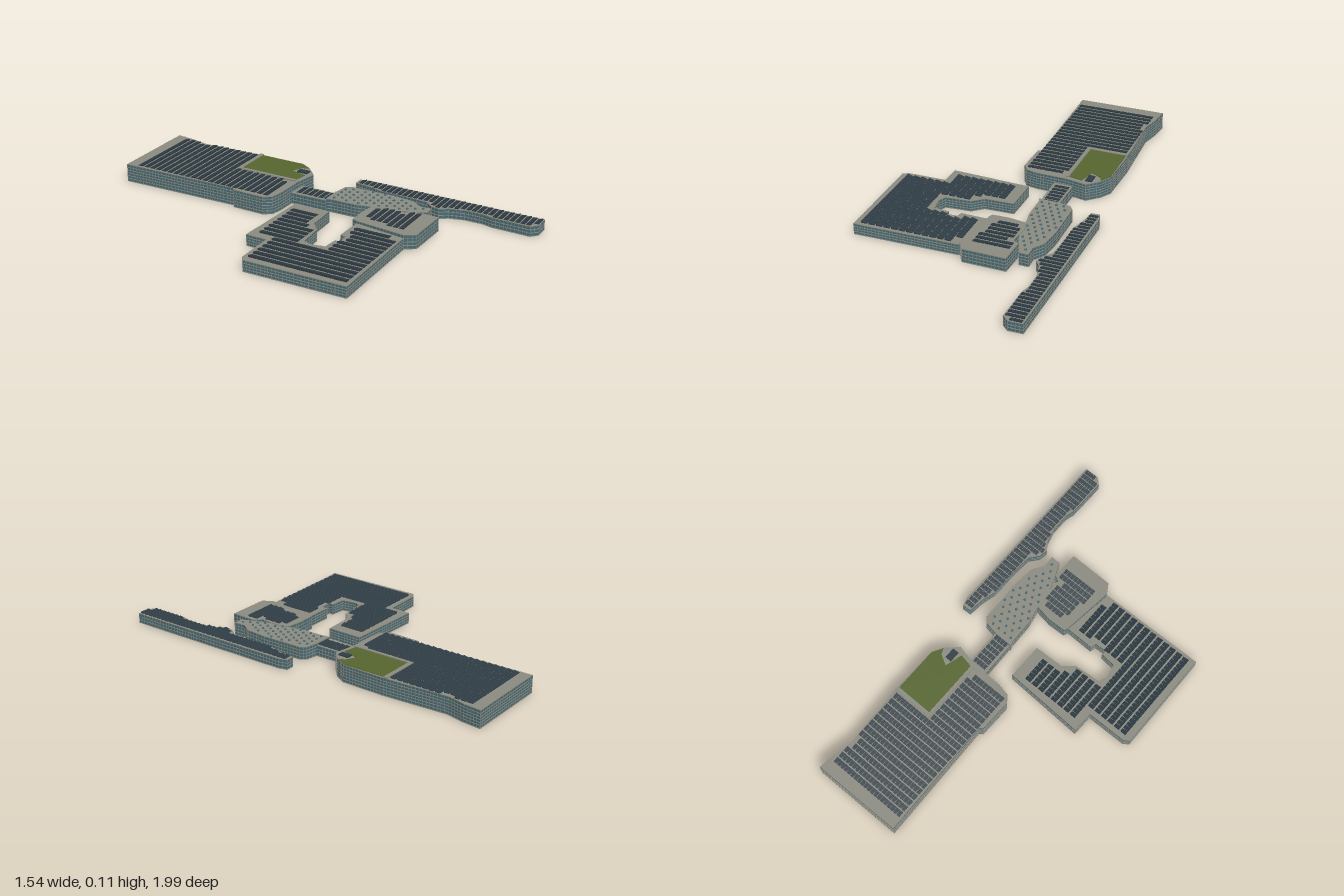
import * as THREE from 'three';
import { mergeGeometries } from 'three/addons/utils/BufferGeometryUtils.js';

const mat = (color) => new THREE.MeshStandardMaterial({ color, flatShading: true });
const CONCRETE = mat(0x8a8a80), GLASS = mat(0x456a74), PANEL = mat(0x303d45), GRASS = mat(0x55652f);
const ALONG = Math.PI / 6, ACROSS = -Math.PI / 3; // the two directions of the site grid

function add(group, name, geometry, material) {
  const mesh = new THREE.Mesh(geometry, material);
  mesh.name = name;
  group.add(mesh);
}

// Upright prism over an [x, z] outline
function prism(outline, y0, y1) {
  const shape = new THREE.Shape(outline.map(([x, z]) => new THREE.Vector2(x, -z)));
  return new THREE.ExtrudeGeometry(shape, { depth: y1 - y0, bevelEnabled: false })
    .rotateX(-Math.PI / 2).translate(0, y0, 0);
}

function inside([x, z], poly) {
  let hit = false;
  poly.forEach(([ax, az], i) => {
    const [bx, bz] = poly[(i + 1) % poly.length];
    if ((az > z) !== (bz > z) && x < ax + ((z - az) * (bx - ax)) / (bz - az)) hit = !hit;
  });
  return hit;
}

// Floor bands and mullions along every wall
function facadeGrid(outline, height) {
  const parts = [];
  const floors = Math.round(height / 0.0175);
  outline.forEach(([ax, az], i) => {
    const [bx, bz] = outline[(i + 1) % outline.length];
    const length = Math.hypot(bx - ax, bz - az);
    const turn = -Math.atan2(bz - az, bx - ax);
    const place = (g, t, y) => parts.push(
      g.rotateY(turn).translate(ax + (bx - ax) * t, y, az + (bz - az) * t));
    for (let f = 0; f < floors; f++) {
      place(new THREE.BoxGeometry(length, 0.0035, 0.004), 0.5, 0.002 + (f * (height - 0.004)) / floors);
    }
    const bays = Math.max(1, Math.round(length / 0.02));
    for (let b = 0; b < bays; b++) {
      place(new THREE.BoxGeometry(0.002, height, 0.003), b / bays, height / 2);
    }
  });
  return mergeGeometries(parts);
}

// Rows of sloping glass panels filling an outline
function skylights(field, y, rise, angle, pitch, cell) {
  const parts = [];
  const c = Math.cos(angle), s = Math.sin(angle);
  const toWorld = (u, v) => [u * c + v * s, -u * s + v * c];
  const w = cell * 0.86, d = pitch * 0.78;
  for (let i = -70; i <= 70; i++) {
    for (let j = -50; j <= 50; j++) {
      const u = i * cell, v = j * pitch;
      const fits = [[-1, -1], [1, -1], [1, 1], [-1, 1]]
        .every(([p, q]) => inside(toWorld(u + (p * w) / 2, v + (q * d) / 2), field));
      if (!fits) continue;
      const wedge = new THREE.BoxGeometry(w, rise, d);
      const pos = wedge.attributes.position;
      for (let k = 0; k < pos.count; k++) {
        if (pos.getY(k) > 0 && pos.getZ(k) < 0) pos.setY(k, -rise * 0.35);
      }
      const [x, z] = toWorld(u, v);
      parts.push(wedge.rotateY(angle).translate(x, y + rise / 2, z));
    }
  }
  return mergeGeometries(parts);
}

const northWing = [[-0.35, -1], [-0.31, -0.91], [-0.28, -0.81], [-0.08, -0.5], [0.04, -0.28], [0.04, -0.21],
  [0.015, -0.13], [-0.1, -0.09], [-0.245, -0.01], [-0.305, 0.01], [-0.35, -0.01], [-0.435, -0.165],
  [-0.425, -0.185], [-0.77, -0.755]];
const southWing = [[-0.59, 0.275], [-0.205, 0.075], [-0.11, 0.245], [-0.245, 0.33], [-0.27, 0.4],
  [-0.385, 0.48], [-0.38, 0.525], [-0.33, 0.585], [-0.255, 0.55], [-0.245, 0.575], [-0.19, 0.54],
  [-0.2, 0.51], [-0.065, 0.435], [0.04, 0.695], [-0.455, 0.99], [-0.735, 0.515], [-0.72, 0.485], [-0.535, 0.375]];
const squareBlock = [[-0.07, 0.41], [0.01, 0.36], [0.1, 0.325], [0.145, 0.37], [0.195, 0.475], [0.235, 0.475],
  [0.305, 0.605], [0.1, 0.72], [0.045, 0.69], [-0.065, 0.435]];
const hall = [[-0.055, 0.12], [0.035, 0.07], [0.105, 0.045], [0.14, 0.06], [0.19, 0.145], [0.26, 0.26],
  [0.31, 0.37], [0.305, 0.44], [0.34, 0.495], [0.295, 0.52], [0.18, 0.43], [0.11, 0.34], [0.035, 0.255], [-0.035, 0.14]];
const link = [[-0.16, -0.065], [-0.07, -0.12], [0.04, 0.07], [-0.045, 0.125]];
const eastStrip = [[0.205, -0.01], [0.245, -0.035], [0.28, 0], [0.77, 0.855], [0.705, 0.895], [0.66, 0.885],
  [0.56, 0.705], [0.545, 0.65], [0.495, 0.565], [0.435, 0.505], [0.39, 0.485], [0.375, 0.44], [0.385, 0.38],
  [0.345, 0.295], [0.26, 0.145], [0.24, 0.07]];

// Glazed part of each roof
const northField = [[-0.74, -0.735], [-0.335, -0.965], [-0.28, -0.81], [-0.1, -0.52], [-0.29, -0.41],
  [-0.13, -0.11], [-0.245, -0.025], [-0.305, -0.005], [-0.34, -0.015], [-0.42, -0.165]];
const southField = [[-0.56, 0.285], [-0.24, 0.105], [-0.155, 0.25], [-0.26, 0.32], [-0.28, 0.4], [-0.395, 0.475],
  [-0.39, 0.53], [-0.335, 0.6], [-0.2, 0.555], [-0.08, 0.46], [0.025, 0.69], [-0.44, 0.965], [-0.71, 0.505], [-0.51, 0.38]];
const blockField = [[-0.02, 0.4], [0.09, 0.335], [0.135, 0.37], [0.185, 0.48], [0.23, 0.48], [0.27, 0.56], [0.065, 0.68]];

const buildings = [
  { name: 'northWing', outline: northWing, height: 0.098, field: northField, rise: 0.008, angle: ALONG, pitch: 0.037, cell: 0.022 },
  { name: 'southWing', outline: southWing, height: 0.062, field: southField, rise: 0.011, angle: ACROSS, pitch: 0.042, cell: 0.024 },
  { name: 'squareBlock', outline: squareBlock, height: 0.076, field: blockField, rise: 0.008, angle: ALONG, pitch: 0.034, cell: 0.022 },
  { name: 'linkBridge', outline: link, height: 0.06, field: link, rise: 0.006, angle: ALONG, pitch: 0.032, cell: 0.02 },
  { name: 'eastStrip', outline: eastStrip, height: 0.056, field: eastStrip, rise: 0.007, angle: ALONG, pitch: 0.03, cell: 0.016 },
  { name: 'centralHall', outline: hall, height: 0.072 },
];

export function createModel() {
  const model = new THREE.Group();
  model.name = 'buildingComplex';

  for (const b of buildings) {
    const group = new THREE.Group();
    group.name = b.name;
    add(group, 'glassWalls', prism(b.outline, 0, b.height - 0.004), GLASS);
    add(group, 'facadeGrid', facadeGrid(b.outline, b.height), CONCRETE);
    add(group, 'roofDeck', prism(b.outline, b.height - 0.004, b.height), CONCRETE);
    if (b.field) add(group, 'skylights', skylights(b.field, b.height, b.rise, b.angle, b.pitch, b.cell), PANEL);
    model.add(group);
  }

  // Planted roof terrace with its kerb and stair house
  const terrace = [[-0.265, -0.4], [-0.09, -0.5], [0.038, -0.28], [0.038, -0.215], [0.01, -0.235],
    [-0.055, -0.235], [-0.03, -0.14], [-0.1, -0.115]];
  add(model, 'roofGarden', prism(terrace, 0.097, 0.101), GRASS);
  const kerb = [[-0.29, -0.405], [-0.09, -0.52], [-0.08, -0.5], [-0.265, -0.395], [-0.1, -0.11], [-0.115, -0.1]];
  add(model, 'terraceKerb', prism(kerb, 0.097, 0.104), CONCRETE);
  add(model, 'stairHouse', new THREE.BoxGeometry(0.035, 0.008, 0.06).rotateY(ALONG).translate(-0.012, 0.101, -0.185), PANEL);

  // Small round rooflights scattered in a grid over the hall
  const dots = [];
  for (let i = 0; i < 20; i++) {
    for (let j = 0; j < 24; j++) {
      const u = -0.4 + i * 0.04 + (j % 2) * 0.02, v = -0.1 + j * 0.035;
      const x = u * 0.866 + v * 0.5, z = -u * 0.5 + v * 0.866;
      const clear = [[-1, 0], [1, 0], [0, -1], [0, 1]].every(([p, q]) => inside([x + p * 0.014, z + q * 0.014], hall));
      if (clear) dots.push(new THREE.CylinderGeometry(0.006, 0.007, 0.006, 8).translate(x, 0.075, z));
    }
  }
  add(model, 'hallRooflights', mergeGeometries(dots), GLASS);
  return model;
}
